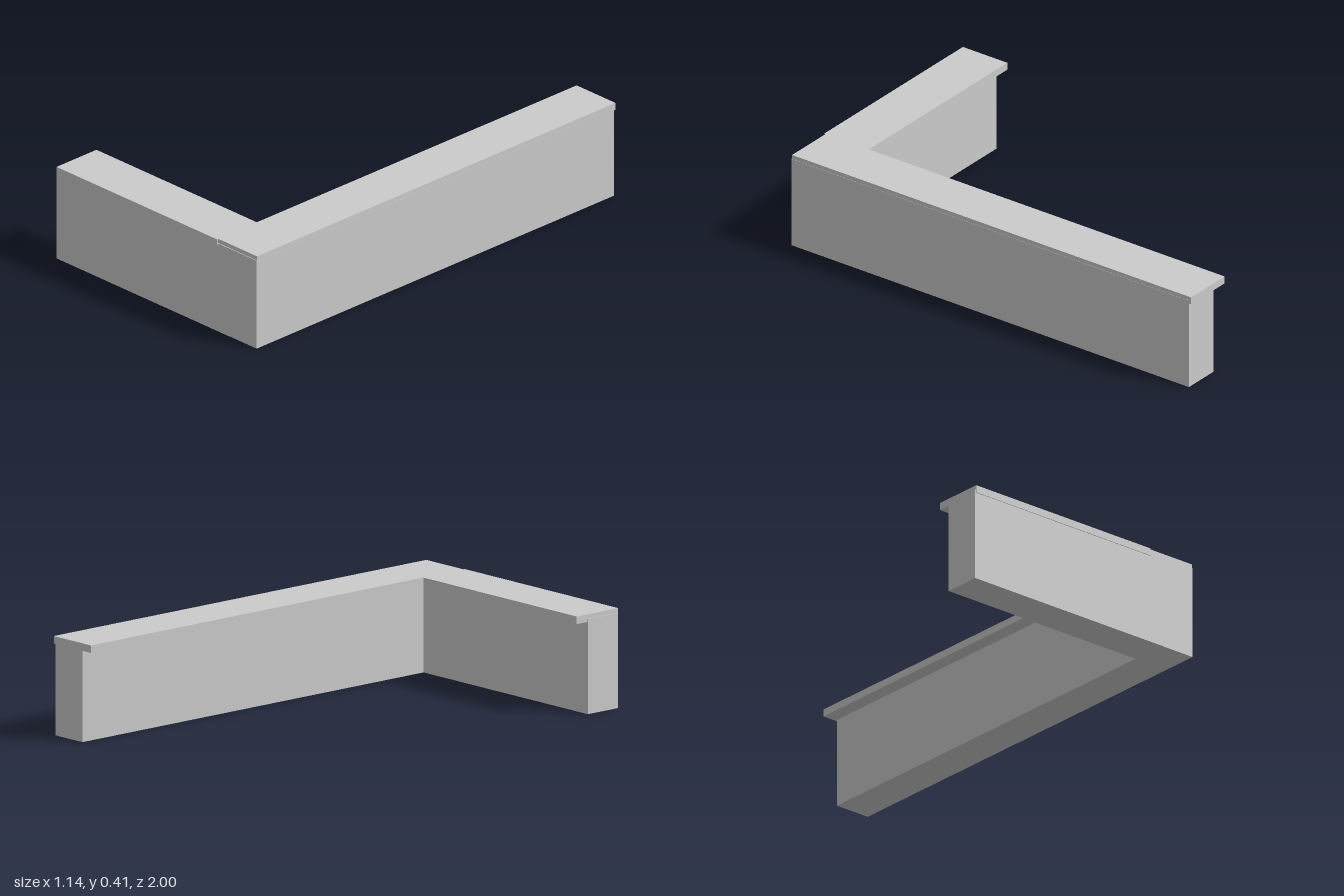
import * as THREE from 'three';

const material = new THREE.MeshStandardMaterial({ color: 0xcccccc, flatShading: true });

// Box given by its limits on each axis
function block(name, [x0, x1], [y0, y1], [z0, z1]) {
  const mesh = new THREE.Mesh(new THREE.BoxGeometry(x1 - x0, y1 - y0, z1 - z0), material);
  mesh.name = name;
  mesh.position.set((x0 + x1) / 2, (y0 + y1) / 2, (z0 + z1) / 2);
  return mesh;
}

export function createModel() {
  const group = new THREE.Group();
  group.name = 'cornerCounter';

  const bodyY = [0, 0.39];
  const topY = [0.377, 0.408];

  // Long arm: base wall and a top that overhangs the inner side and back end
  group.add(block('longBase', [0.41, 0.571], bodyY, [-0.99, 0.996]));
  group.add(block('longTop', [0.348, 0.57], topY, [-1, 0.993]));

  // Short arm: runs to the right along the front, its top butting the long top
  group.add(block('shortBase', [-0.571, 0.41], bodyY, [0.835, 0.997]));
  group.add(block('shortTop', [-0.568, 0.348], topY, [0.778, 1]));

  return group;
}
